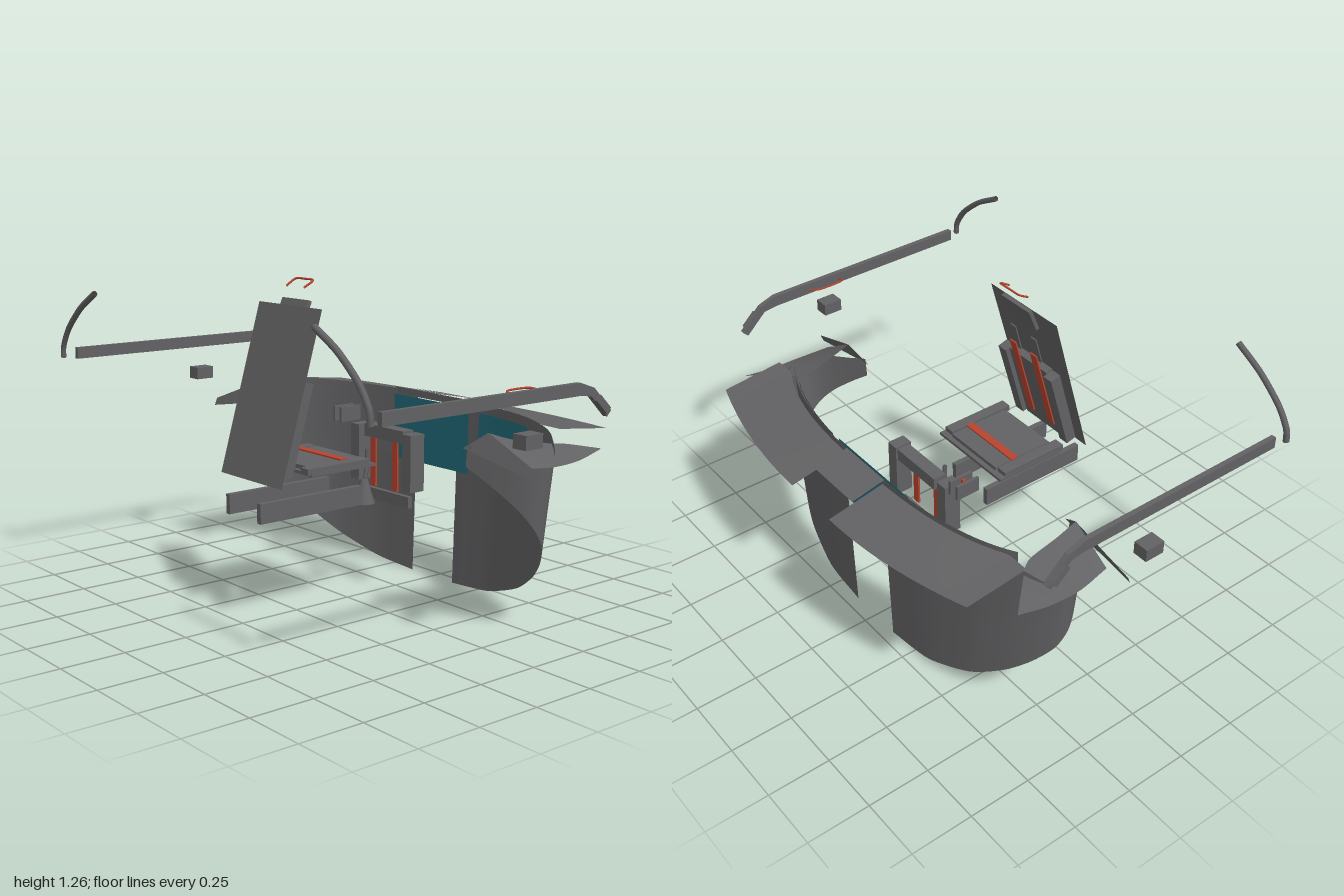
import * as THREE from 'three';

const material = (name, color) => {
  const m = new THREE.MeshStandardMaterial({ color, side: THREE.DoubleSide });
  m.name = name;
  return m;
};

// Surface from a rule: fn(u, v) gives [x, y, z]
function sheet(nu, nv, fn) {
  const pos = [], idx = [];
  for (let j = 0; j <= nv; j++) for (let i = 0; i <= nu; i++) pos.push(...fn(i / nu, j / nv));
  for (let j = 0; j < nv; j++) for (let i = 0; i < nu; i++) {
    const a = j * (nu + 1) + i, b = a + nu + 1;
    idx.push(a, a + 1, b + 1, a, b + 1, b);
  }
  const g = new THREE.BufferGeometry();
  g.setAttribute('position', new THREE.Float32BufferAttribute(pos, 3));
  g.setIndex(idx);
  g.computeVertexNormals();
  return g;
}

const curve = pts => new THREE.CatmullRomCurve3(pts.map(p => new THREE.Vector3(...p)), false, 'catmullrom', 0.4);
const tube = (pts, r, seg = 24) => new THREE.TubeGeometry(curve(pts), seg, r, 6);
const mix = THREE.MathUtils.lerp;

// Depth of the instrument arc for a given x
const planZ = x => -0.46 * Math.pow(Math.max(0, 1 - Math.pow(x / 0.87, 2.5)), 0.4);

// Shell seen from above, curling inward at its rear end (x, top height, z)
const shellPlan = curve([[0.12, 0.752, -0.45], [0.35, 0.752, -0.436], [0.55, 0.75, -0.392], [0.68, 0.735, -0.335],
  [0.76, 0.69, -0.28], [0.81, 0.66, -0.225], [0.815, 0.655, -0.18], [0.79, 0.665, -0.14],
  [0.74, 0.685, -0.1], [0.66, 0.7, -0.055], [0.6, 0.715, -0.025]]);

// Inner and outer edges of the side ledge, front to back
const ledgeInner = curve([[0.868, 0.685, -0.457], [0.78, 0.7, -0.365], [0.702, 0.702, -0.275],
  [0.7, 0.735, -0.15], [0.7, 0.765, -0.06]]);
const ledgeOuter = curve([[0.87, 0.683, -0.455], [0.882, 0.66, -0.33], [0.885, 0.655, -0.2], [0.865, 0.665, -0.06]]);

export function createModel() {
  const root = new THREE.Group();
  root.name = 'cockpit';
  const grey = material('cockpitGrey', 0x626264);
  const blue = material('screenBlue', 0x236b7a);
  const red = material('strapRed', 0xb8442f);

  const add = (name, geo, mat, parent = root) => {
    const m = new THREE.Mesh(geo, mat);
    m.name = name;
    parent.add(m);
    return m;
  };
  const box = (name, size, at, mat = grey, parent = root) => {
    const m = add(name, new THREE.BoxGeometry(...size), mat, parent);
    m.position.set(...at);
    return m;
  };

  // Parts present on both sides
  for (const s of [-1, 1]) {
    const side = s < 0 ? 'right' : 'left';

    // Curved shell, cut along the bottom by a slanted plane and flaring upward
    add(side + 'Shell', sheet(60, 8, (u, v) => {
      const p = shellPlan.getPoint(u);
      const low = Math.max(0.005, (p.z + 0.452) * 1.48 + 0.005);
      const y = mix(low, p.y, v);
      const flare = 1 + 0.15 * (y - 0.34) * Math.min(1, (p.x - 0.12) / 0.3);
      return [s * p.x * flare, y, p.z - 0.03 * y * Math.max(0, -p.z / 0.45)];
    }), grey);

    // Sloping hood over the instruments
    add(side + 'Hood', sheet(24, 1, (u, v) => {
      const x = mix(0.12, 0.775, u), k = u * u;
      const inner = Math.min(planZ(x) - 0.01, -0.345), outer = mix(-0.7, -0.595, k);
      return [s * x, mix(mix(0.762, 0.755, k), mix(0.716, 0.728, k), v), mix(inner, outer, v)];
    }), grey);

    // Instrument panel just inside the shell
    add(side + 'InstrumentPanel', sheet(20, 1, (u, v) => {
      const x = mix(0.22, 0.7, u);
      return [s * x, mix(0.5, 0.765, v), planZ(x) + mix(0.02, 0.005, v)];
    }), grey);

    // Display screen and its frame
    const onPanel = (x, y, lift) => [s * x, y, planZ(x) + 0.02 + lift - (y - 0.5) * 0.055];
    add(side + 'Screen', sheet(10, 1, (u, v) => onPanel(mix(0.275, 0.597, u), mix(0.522, 0.732, v), 0.007)),
      s > 0 ? blue : grey);
    for (const y of [0.513, 0.742])
      add(side + 'ScreenEdge', sheet(10, 1, (u, v) => onPanel(mix(0.255, 0.62, u), y + mix(-0.006, 0.006, v), 0.012)), grey);
    for (const x of [0.26, 0.615])
      add(side + 'ScreenPost', sheet(1, 1, (u, v) => onPanel(x + mix(-0.006, 0.006, u), mix(0.513, 0.742, v), 0.012)), grey);

    // Side ledge sloping outward, with a triangular end plate
    add(side + 'Ledge', sheet(2, 16, (u, v) => {
      const a = ledgeInner.getPoint(v), b = ledgeOuter.getPoint(v);
      return [s * mix(a.x, b.x, u), mix(a.y, b.y, u), mix(a.z, b.z, u)];
    }), grey);
    add(side + 'LedgeEnd', sheet(1, 1, (u, v) => [
      s * mix(mix(0.61, 0.95, u), mix(0.7, 0.95, u), v),
      mix(mix(0.7, 0.642, u), mix(0.765, 0.672, u), v),
      mix(-0.028, mix(-0.062, -0.04, u), v)]), grey);

    // Canopy rail with a bent front end
    const outline = [[0.64, 0.952], [-0.25, 0.952], [-0.32, 0.928], [-0.41, 0.84],
      [-0.39, 0.82], [-0.305, 0.9], [-0.25, 0.907], [0.64, 0.907]];
    const rail = new THREE.ExtrudeGeometry(
      new THREE.Shape(outline.map(p => new THREE.Vector2(-p[0], p[1]))), { depth: 0.02, bevelEnabled: false });
    rail.rotateY(Math.PI / 2);
    rail.translate(s * 0.94 - 0.01, 0, 0);
    add(side + 'CanopyRail', rail, grey);
    const end = box(side + 'RailEndBlock', [0.022, 0.028, 0.075], [s * 0.951, 0.868, -0.358]);
    end.rotation.x = -0.75;

    // Rear canopy arch
    const arch = tube([[0.957, 0.915, 0], [0.95, 0.965, 0], [0.9, 1.04, 0], [0.8, 1.125, 0], [0.685, 1.19, 0]]
      .map(p => [s * p[0], p[1], 0.69]), 0.012);
    add(side + 'CanopyArch', arch, grey);

    box(side + 'LatchBlock', [0.06, 0.05, 0.08], [s * 0.97, 0.79, 0.025]);
    // Floor runner under the seat
    box(side + 'SeatRunner', [0.022, 0.075, 0.47], [s * 0.098, 0.443, 0.255]);
  }

  // Centre display and the hood bridge above it
  add('centreScreen', sheet(1, 1, (u, v) => [mix(-0.22, 0.22, u), mix(0.48, 0.745, v), -0.43]), blue);
  add('hoodBridge', sheet(1, 1, (u, v) => [mix(-0.12, 0.12, u), mix(0.775, 0.745, v), mix(-0.46, -0.6, v)]), grey);
  add('hoodLip', sheet(1, 1, (u, v) => [mix(-0.24, 0.24, u), mix(0.742, 0.77, v), -0.455]), grey);

  // Seat back: flat rear plate with padding and straps on its forward side
  const back = new THREE.Group();
  back.name = 'seatBack';
  back.position.set(0, 0.8585, 0.3625);
  back.rotation.x = -Math.atan2(0.185, 0.631);
  root.add(back);
  add('backPlate', new THREE.PlaneGeometry(0.38, 0.657), grey, back);
  box('backCushion', [0.22, 0.36, 0.03], [0, -0.11, -0.03], grey, back);
  for (const s of [-1, 1]) {
    box('backBolster', [0.045, 0.35, 0.045], [s * 0.135, -0.11, -0.04], grey, back);
    box('shoulderStrap', [0.036, 0.38, 0.006], [s * 0.06, -0.05, -0.049], red, back);
    box('strapGuide', [0.03, 0.12, 0.005], [s * 0.06, 0.15, -0.03], grey, back);
  }
  const head = box('headrest', [0.16, 0.1, 0.015], [0, 1.147, 0.257]);
  head.rotation.x = -0.4;

  // Seat pan
  box('seatPan', [0.38, 0.012, 0.3], [0, 0.577, 0.17]);
  box('seatCushion', [0.27, 0.02, 0.26], [0, 0.588, 0.17]);
  for (const s of [-1, 1]) box('seatBolster', [0.045, 0.024, 0.29], [s * 0.165, 0.589, 0.19]);
  box('lapStrap', [0.28, 0.006, 0.032], [0, 0.602, 0.13], red);

  // Pull handles
  add('overheadHandle', tube([[-0.053, 1.24, 0.245], [-0.053, 1.264, 0.203], [0, 1.266, 0.2],
    [0.053, 1.264, 0.203], [0.053, 1.24, 0.245]], 0.004), red);
  add('railHandle', tube([[0.915, 0.935, -0.1], [0.877, 0.945, -0.07], [0.877, 0.945, 0.03],
    [0.915, 0.935, 0.048]], 0.004), red);

  // Centre pedestal with side posts and red strips
  box('pedestalBar', [0.23, 0.05, 0.055], [0, 0.64, -0.21]);
  box('pedestalFoot', [0.28, 0.045, 0.02], [0, 0.385, -0.2]);
  for (const s of [-1, 1]) {
    box('pedestalPost', [0.05, 0.225, 0.07], [s * 0.155, 0.547, -0.2]);
    box('pedestalStrip', [0.03, 0.195, 0.008], [s * 0.065, 0.517, -0.188], red);
    box('leverPlate', [0.012, 0.06, 0.1], [-0.235 + s * 0.02, 0.69, -0.19]);
  }
  box('leverKnob', [0.012, 0.015, 0.015], [-0.235, 0.71, -0.19], red);

  // Control stick on a conical boot
  const boot = add('stickBoot', new THREE.CylinderGeometry(0.014, 0.042, 0.095, 16), grey);
  boot.position.set(0, 0.424, -0.085);
  add('stick', tube([[0, 0.46, -0.085], [0, 0.53, -0.1], [0, 0.59, -0.1]], 0.009), grey);

  return root;
}
